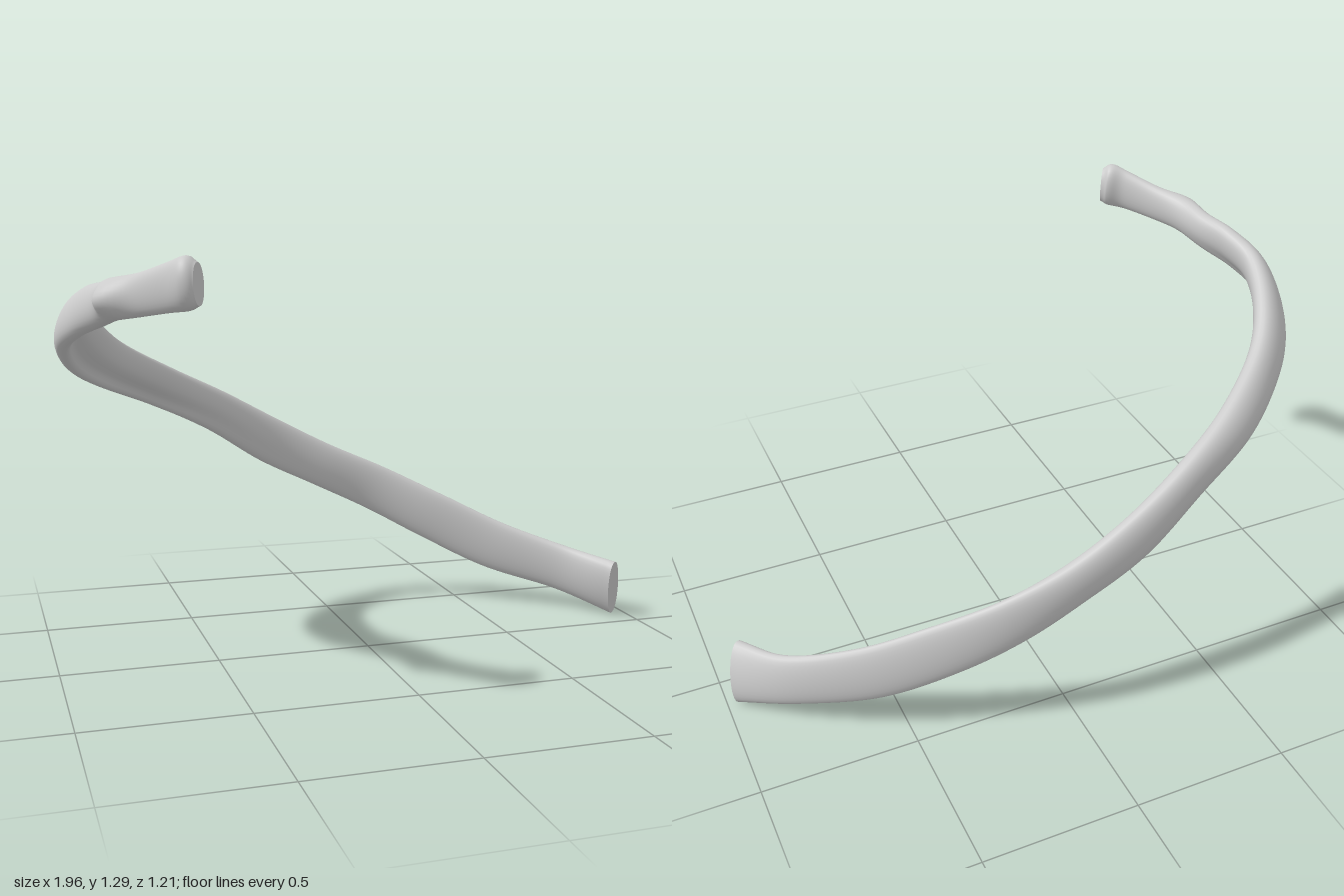
import * as THREE from 'three';

// Stations along the rib: upper edge point, lower edge point, thickness
const STATIONS = [
  [[0.93, 0.2, -0.05], [0.96, 0.0, -0.11], 0.085],
  [[0.82, 0.23, -0.21], [0.8, 0.065, -0.26], 0.06],
  [[0.63, 0.3, -0.345], [0.58, 0.13, -0.4], 0.055],
  [[0.43, 0.4, -0.45], [0.37, 0.235, -0.5], 0.055],
  [[0.23, 0.5, -0.535], [0.17, 0.345, -0.56], 0.06],
  [[0.03, 0.59, -0.565], [-0.03, 0.445, -0.565], 0.077],
  [[-0.17, 0.695, -0.555], [-0.23, 0.545, -0.555], 0.08],
  [[-0.37, 0.805, -0.51], [-0.43, 0.675, -0.505], 0.085],
  [[-0.56, 0.9, -0.42], [-0.64, 0.78, -0.435], 0.09],
  [[-0.74, 1.0, -0.29], [-0.82, 0.86, -0.29], 0.09],
  [[-0.84, 1.09, -0.15], [-0.92, 0.925, -0.16], 0.09],
  [[-0.89, 1.16, 0], [-0.96, 1.0, -0.01], 0.085],
  [[-0.87, 1.2, 0.12], [-0.93, 1.05, 0.11], 0.08],
  [[-0.845, 1.215, 0.23], [-0.875, 1.085, 0.22], 0.08],
  [[-0.835, 1.23, 0.33], [-0.835, 1.11, 0.33], 0.08],
  [[-0.78, 1.245, 0.43], [-0.78, 1.125, 0.43], 0.06],
  [[-0.715, 1.275, 0.52], [-0.715, 1.14, 0.52], 0.06],
  [[-0.675, 1.292, 0.56], [-0.67, 1.147, 0.565], 0.095],
  [[-0.65, 1.275, 0.58], [-0.645, 1.16, 0.58], 0.07],
];
const RINGS = 150, SIDES = 32;
const spline = (points) => new THREE.CatmullRomCurve3(points, false, 'catmullrom', 0.5);
const TUBERCLE = new THREE.Vector3(-0.88, 1.17, 0.385);
const TUBERCLE_PUSH = new THREE.Vector3(-0.045, -0.005, 0.01);

// Lofts a flattened oval section through the stations
function ribGeometry() {
  const upper = spline(STATIONS.map((s) => new THREE.Vector3(...s[0])));
  const lower = spline(STATIONS.map((s) => new THREE.Vector3(...s[1])));
  const thick = spline(STATIONS.map((s) => new THREE.Vector3(s[2], 0, 0)));
  const centre = (u) => upper.getPoint(u).lerp(lower.getPoint(u), 0.5);
  const positions = [], index = [];

  for (let i = 0; i <= RINGS; i++) {
    const u = i / RINGS;
    const c = centre(u);
    const up = upper.getPoint(u).sub(c);
    const along = centre(Math.min(1, u + 0.004)).sub(centre(Math.max(0, u - 0.004)));
    const out = along.cross(up).normalize().multiplyScalar(thick.getPoint(u).x / 2);
    // Costal groove runs along the inner lower side of the shaft
    const groove = 0.55 * Math.exp(-(((u - 0.52) / 0.14) ** 2));
    for (let j = 0; j < SIDES; j++) {
      const a = (j / SIDES) * Math.PI * 2;
      const s = Math.sin(a);
      let w = Math.sign(Math.cos(a)) * Math.abs(Math.cos(a)) ** 0.9;
      if (w < 0) w *= 1 - groove * Math.exp(-(((s + 0.5) / 0.35) ** 2));
      const p = c.clone().addScaledVector(up, s).addScaledVector(out, w);
      // Knob beside the neck
      p.addScaledVector(TUBERCLE_PUSH, Math.exp(-p.distanceToSquared(TUBERCLE) / 0.0035));
      positions.push(p.x, p.y, p.z);
    }
  }
  for (let i = 0; i < RINGS; i++) {
    for (let j = 0; j < SIDES; j++) {
      const k = (j + 1) % SIDES;
      const a = i * SIDES + j, b = i * SIDES + k;
      index.push(a, a + SIDES, b, b, a + SIDES, b + SIDES);
    }
  }
  return finish(positions, index);
}

function finish(positions, index) {
  const g = new THREE.BufferGeometry();
  g.setAttribute('position', new THREE.Float32BufferAttribute(positions, 3));
  g.setIndex(index);
  g.computeVertexNormals();
  return g;
}

// Flat end face with a crisp rim, fanned from the ring's middle
function capGeometry(shaft, ring, atEnd) {
  const pos = shaft.getAttribute('position');
  const positions = [], index = [], mid = new THREE.Vector3(), p = new THREE.Vector3();
  for (let j = 0; j < SIDES; j++) {
    p.fromBufferAttribute(pos, ring * SIDES + j);
    mid.addScaledVector(p, 1 / SIDES);
    positions.push(p.x, p.y, p.z);
    const k = (j + 1) % SIDES;
    index.push(SIDES, atEnd ? k : j, atEnd ? j : k);
  }
  positions.push(mid.x, mid.y, mid.z);
  return finish(positions, index);
}

export function createModel() {
  const group = new THREE.Group();
  group.name = 'rib';
  const material = new THREE.MeshStandardMaterial({ color: 0xcccccc, roughness: 0.8 });
  const add = (name, geometry) => {
    const mesh = new THREE.Mesh(geometry, material);
    mesh.name = name;
    group.add(mesh);
  };
  const shaft = ribGeometry();
  add('shaft', shaft);
  add('frontEndFace', capGeometry(shaft, 0, false));
  add('headFace', capGeometry(shaft, RINGS, true));
  return group;
}
